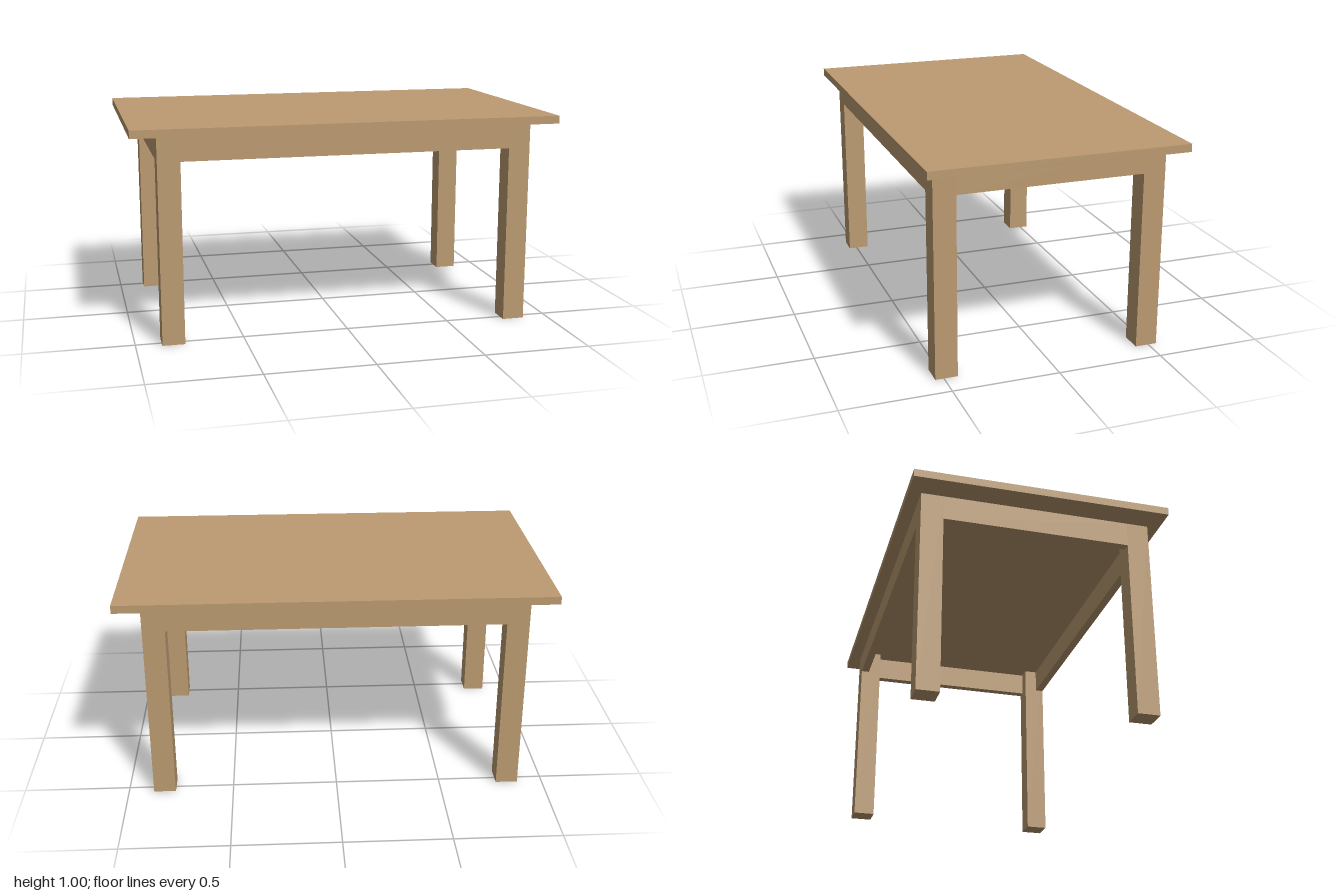
import * as THREE from 'three';

export function createModel() {
  const table = new THREE.Group();
  table.name = 'table';
  const wood = new THREE.MeshStandardMaterial({ color: 0xbc9b72 });
  wood.name = 'wood';

  const box = (name, w, h, d, x, y, z) => {
    const mesh = new THREE.Mesh(new THREE.BoxGeometry(w, h, d), wood);
    mesh.name = name;
    mesh.position.set(x, y, z);
    table.add(mesh);
  };

  const topT = 0.037, under = 1 - topT;   // top thickness, underside height
  const leg = 0.104, outX = 0.88, outZ = 0.54;
  const apronH = 0.118, apronT = 0.04;
  const apronY = under - apronH / 2;

  // Top board
  box('tabletop', 2, topT, 1.195, 0, 1 - topT / 2, 0);

  for (const s of [1, -1]) {
    // Square legs
    for (const f of [1, -1]) {
      box(`${f > 0 ? 'front' : 'back'}${s > 0 ? 'Left' : 'Right'}Leg`, leg, under, leg,
        s * (outX - leg / 2), under / 2, f * (outZ - leg / 2));
    }
    // Aprons between the legs, flush with their outer faces
    box(s > 0 ? 'frontApron' : 'backApron', 2 * (outX - leg), apronH, apronT,
      0, apronY, s * (outZ - apronT / 2));
    box(s > 0 ? 'leftApron' : 'rightApron', apronT, apronH, 2 * (outZ - leg),
      s * (outX - apronT / 2), apronY, 0);
  }
  return table;
}
